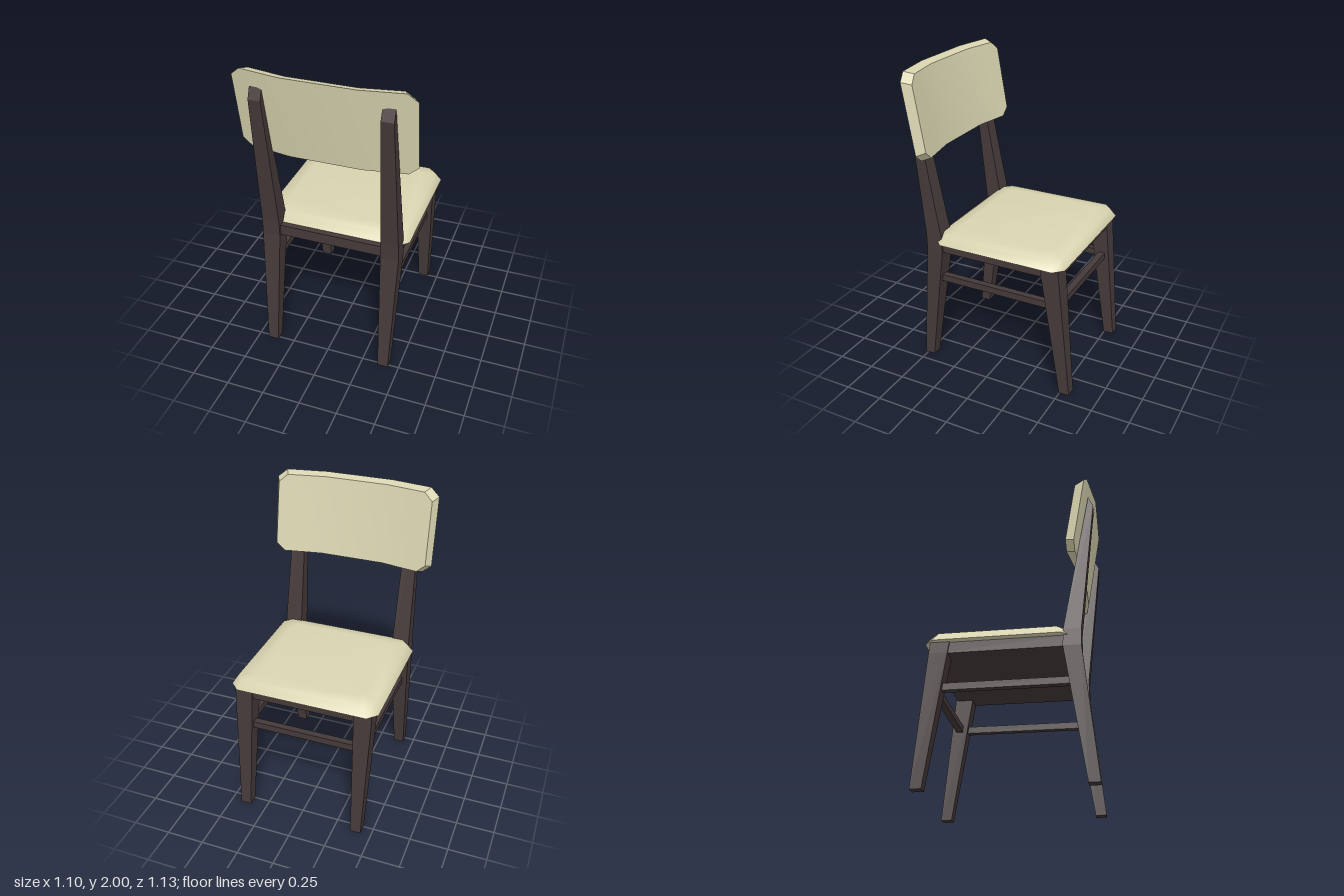
import * as THREE from 'three';
import { toCreasedNormals } from 'three/addons/utils/BufferGeometryUtils.js';

// Skin a stack of convex rings (counter-clockwise about the direction of travel) and cap both ends
function loft(rings, crease) {
  const n = rings[0].length, last = (rings.length - 1) * n, index = [];
  for (let r = 0; r < rings.length - 1; r++) {
    for (let i = 0; i < n; i++) {
      const a = r * n + i, b = r * n + (i + 1) % n;
      index.push(a, b, b + n, a, b + n, a + n);
    }
  }
  for (let i = 1; i < n - 1; i++) {
    index.push(0, i + 1, i, last, last + i, last + i + 1);
  }
  const geometry = new THREE.BufferGeometry();
  geometry.setAttribute('position', new THREE.Float32BufferAttribute(rings.flat(2), 3));
  geometry.setIndex(index);
  return toCreasedNormals(geometry, crease);
}

// Four-cornered horizontal ring; the +z edge may sit at its own height
const quad = (x0, x1, z0, z1, y, yBack = y) =>
  [[x1, yBack, z1], [x1, y, z0], [x0, y, z0], [x0, yBack, z1]];

// Horizontal rectangle with cut corners
const octagon = (x, z0, z1, y, c) => [
  [x - c, y, z1], [x, y, z1 - c], [x, y, z0 + c], [x - c, y, z0],
  [c - x, y, z0], [-x, y, z0 + c], [-x, y, z1 - c], [c - x, y, z1]];

export function createModel() {
  const group = new THREE.Group();
  const wood = new THREE.MeshStandardMaterial({ color: 0x453939 });
  wood.name = 'dark wood';
  const cushion = new THREE.MeshStandardMaterial({ color: 0xd9d4b0 });
  cushion.name = 'cream upholstery';

  const add = (name, geometry, material) => {
    const mesh = new THREE.Mesh(geometry, material);
    mesh.name = name;
    group.add(mesh);
    return mesh;
  };
  const bar = (name, w, h, d, x, y, z) =>
    add(name, new THREE.BoxGeometry(w, h, d), wood).position.set(x, y, z);

  // Legs: [inner x, outer x, z min, z max, y, y of the rear edge]
  const frontLeg = [
    [0.36, 0.43, -0.565, -0.495, 0],
    [0.34, 0.455, -0.487, -0.37, 0.83],
    [0.34, 0.455, -0.48, -0.36, 0.902]];
  const backLeg = [
    [0.36, 0.43, 0.45, 0.52, 0],
    [0.337, 0.455, 0.33, 0.442, 0.83],
    [0.337, 0.452, 0.335, 0.445, 0.94],
    [0.355, 0.432, 0.52, 0.55, 1.9, 1.83]];
  for (const side of [1, -1]) {
    const label = side > 0 ? 'left' : 'right';
    const leg = (rows) => loft(rows.map(([a, b, ...rest]) =>
      side > 0 ? quad(a, b, ...rest) : quad(-b, -a, ...rest)), 0.05);
    add(label + 'FrontLeg', leg(frontLeg), wood);
    add(label + 'BackLeg', leg(backLeg), wood);
    bar(label + 'Stretcher', 0.045, 0.045, 0.8, side * 0.395, 0.623, -0.025);
  }
  bar('frontStretcher', 0.74, 0.045, 0.045, 0, 0.623, -0.455);

  // Solid frame under the seat
  bar('seatFrame', 0.89, 0.072, 0.9, 0, 0.866, -0.025);

  // Gently domed seat cushion
  add('seat', loft([
    octagon(0.49, -0.515, 0.385, 0.902, 0.06),
    octagon(0.453, -0.483, 0.35, 0.962, 0.055),
    octagon(0.37, -0.4, 0.27, 0.975, 0.04)], 1.0), cushion);

  // Backrest: upright sections across the width; [x, wing offset in z, corner cut]
  const lean = (y) => 0.565 - (2 - y) * 0.174;
  const sections = [
    [-0.55, -0.055, 0.05], [-0.49, -0.045, 0], [-0.225, 0, 0],
    [0.225, 0, 0], [0.49, -0.045, 0], [0.55, -0.055, 0.05]];
  add('backrest', loft(sections.map(([x, bend, cut]) => {
    const top = 2 - cut, bottom = 1.455 + cut, fx = x * 0.945;
    const front = (y) => [fx, y, lean(y) - 0.058 + bend];
    return [
      [x, top, lean(top) + bend], [x, bottom, lean(bottom) + bend],
      front(bottom + 0.022), front(top - 0.015)];
  }), 0.5), cushion);

  return group;
}
